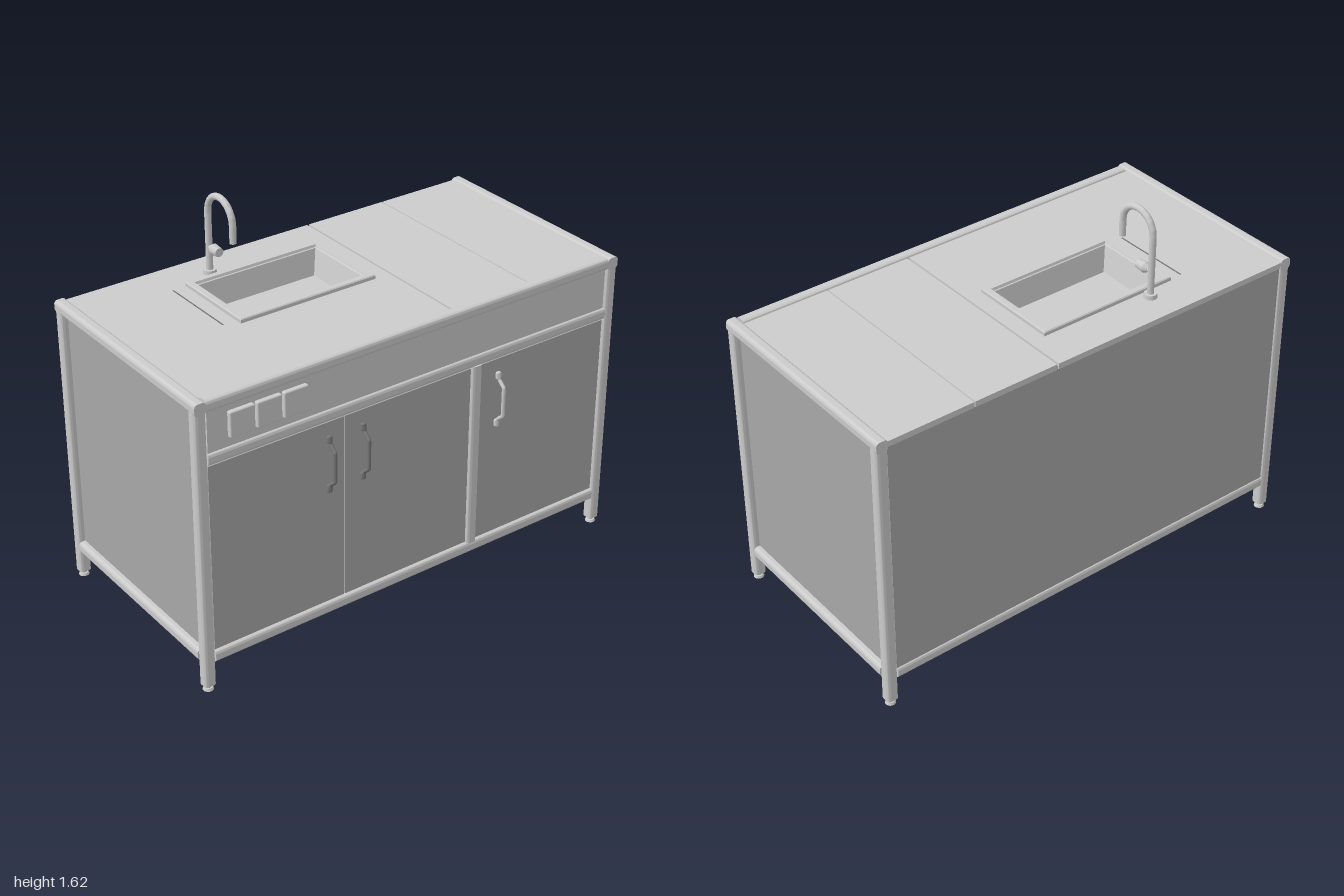
import * as THREE from 'three';
import { RoundedBoxGeometry } from 'three/addons/geometries/RoundedBoxGeometry.js';
import { toCreasedNormals } from 'three/addons/utils/BufferGeometryUtils.js';

const steel = new THREE.MeshStandardMaterial({ color: 0xcccccc });
const sheet = new THREE.MeshStandardMaterial({ color: 0xcccccc, side: THREE.DoubleSide });
const panelGrey = new THREE.MeshStandardMaterial({ color: 0xa8a8a8 });
const darkGrey = new THREE.MeshStandardMaterial({ color: 0x777777 });

export function createModel() {
  const root = new THREE.Group();

  const add = (name, geometry, material = steel, x = 0, y = 0, z = 0, parent = root) => {
    const mesh = new THREE.Mesh(geometry, material);
    mesh.name = name;
    mesh.position.set(x, y, z);
    parent.add(mesh);
    return mesh;
  };
  // Box given by its limits on each axis
  const box = (name, x0, x1, y0, y1, z0, z1, material = steel) =>
    add(name, new THREE.BoxGeometry(x1 - x0, y1 - y0, z1 - z0), material,
      (x0 + x1) / 2, (y0 + y1) / 2, (z0 + z1) / 2);

  // Square tube with rounded long edges, extruded along one axis
  const T = 0.05;
  const profile = (() => {
    const h = T / 2, r = 0.015, k = h - r, s = new THREE.Shape();
    s.absarc(k, k, r, 0, Math.PI / 2);
    s.absarc(-k, k, r, Math.PI / 2, Math.PI);
    s.absarc(-k, -k, r, Math.PI, Math.PI * 1.5);
    s.absarc(k, -k, r, Math.PI * 1.5, Math.PI * 2);
    return s;
  })();
  const bar = (name, axis, length, x, y, z) => {
    let g = new THREE.ExtrudeGeometry(profile, { depth: length, bevelEnabled: false, curveSegments: 4 });
    g.translate(0, 0, -length / 2);
    g = toCreasedNormals(g, 0.6);
    if (axis === 'x') g.rotateY(Math.PI / 2);
    if (axis === 'y') g.rotateX(Math.PI / 2);
    return add(name, g, steel, x, y, z);
  };

  // Frame: corner posts, feet and rails
  const zF = 0.452, zB = -0.488, zMid = (zF + zB) / 2, depth = zF - zB;
  for (const sx of [-1, 1]) {
    const x = sx * 0.975;
    for (const z of [zF, zB]) {
      bar('cornerPost', 'y', 1.22, x, 0.635, z);
      add('footStem', new THREE.CylinderGeometry(0.011, 0.011, 0.03, 12), steel, x, 0.017, z);
      add('footPad', new THREE.CylinderGeometry(0.018, 0.022, 0.01, 16), steel, x, 0.005, z);
    }
    bar('sideTopRail', 'z', depth + T, x, 1.235, zMid);
    bar('sideBottomRail', 'z', depth - T, x, 0.15, zMid);
    const inner = sx * 0.958;
    box('sidePanel', inner - 0.014, inner + 0.014, 0.16, 1.225, zB, zF, panelGrey);
  }
  bar('frontTopRail', 'x', 1.9, 0, 1.235, zF);
  bar('frontMiddleRail', 'x', 1.9, 0, 1.015, zF);
  bar('frontBottomRail', 'x', 1.9, 0, 0.15, zF);
  bar('backBottomRail', 'x', 1.9, 0, 0.15, zB);
  bar('doorDivider', 'y', 0.82, 0.29, 0.582, zF);

  // Back, floor and control panels
  box('backPanel', -0.95, 0.95, 0.17, 1.235, -0.505, -0.485, panelGrey);
  box('floorPanel', -0.955, 0.955, 0.135, 0.15, zB, zF, panelGrey);
  box('controlPanel', -0.945, 0.945, 1.03, 1.22, 0.44, 0.466);

  // Doors
  for (const [x0, x1] of [[-0.947, -0.347], [-0.342, 0.262], [0.316, 0.945]])
    box('door', x0, x1, 0.18, 0.985, 0.44, 0.466, panelGrey);

  // Handles: bowed rods with round end pads
  const path = new THREE.CurvePath();
  const pts = [[0.685, 0.474], [0.715, 0.476], [0.742, 0.507], [0.87, 0.507], [0.897, 0.476], [0.925, 0.474]]
    .map(([y, z]) => new THREE.Vector3(0, y, z));
  for (let i = 1; i < pts.length; i++) path.add(new THREE.LineCurve3(pts[i - 1], pts[i]));
  const handleGeo = new THREE.TubeGeometry(path, 40, 0.008, 8);
  for (const [x, material] of [[-0.417, darkGrey], [-0.26, darkGrey], [0.4, steel]]) {
    const handle = new THREE.Group();
    handle.name = 'handle';
    handle.position.x = x;
    root.add(handle);
    add('handleRod', handleGeo, material, 0, 0, 0, handle);
    for (const y of [0.698, 0.912])
      add('handlePad', new RoundedBoxGeometry(0.022, 0.034, 0.018, 2, 0.007), material, 0, y, 0.471, handle);
  }

  // Row of socket covers
  for (let i = 0; i < 3; i++)
    add('socketCover', new RoundedBoxGeometry(0.108, 0.108, 0.03, 2, 0.006), steel, -0.804 + i * 0.117, 1.132, 0.47);

  // Worktop: three plates, the first cut out for the sink
  const rect = (s, x0, x1, z0, z1) =>
    s.moveTo(x0, -z1).lineTo(x1, -z1).lineTo(x1, -z0).lineTo(x0, -z0).closePath();
  const top = new THREE.Shape();
  rect(top, -0.955, 0.183, -0.512, 0.428);
  const cut = new THREE.Path();
  rect(cut, -0.5, 0.09, -0.32, 0.03);
  top.holes.push(cut);
  const topGeo = new THREE.ExtrudeGeometry(top, { depth: 0.025, bevelEnabled: false }).rotateX(-Math.PI / 2);
  add('sinkWorktop', topGeo, steel, 0, 1.225, 0);
  box('middleWorktop', 0.192, 0.568, 1.225, 1.25, -0.512, 0.428);
  box('endWorktop', 0.573, 0.955, 1.225, 1.25, -0.512, 0.428);
  box('seamBacking', 0.17, 0.59, 1.215, 1.226, -0.5, 0.428, darkGrey);
  box('worktopSlit', -0.582, -0.577, 1.245, 1.252, -0.33, 0.02, darkGrey);

  // Sink: rectangular rings from the outer rim down to the floor
  const rings = [[0, 1.25], [0, 1.264], [0.004, 1.268], [0.027, 1.268], [0.031, 1.258],
    [0.036, 1.256], [0.06, 1.15]].map(([d, y]) => [
    [-0.52 + d, y, -0.34 + d], [-0.52 + d, y, 0.05 - d], [0.112 - d, y, 0.05 - d], [0.112 - d, y, -0.34 + d]]);
  const corners = [];
  const quad = (a, b, c, d) => corners.push(...a, ...b, ...c, ...a, ...c, ...d);
  for (let r = 1; r < rings.length; r++)
    for (let i = 0; i < 4; i++) {
      const j = (i + 1) % 4;
      quad(rings[r - 1][i], rings[r - 1][j], rings[r][j], rings[r][i]);
    }
  quad(...rings[rings.length - 1]);
  const sinkGeo = new THREE.BufferGeometry();
  sinkGeo.setAttribute('position', new THREE.Float32BufferAttribute(corners, 3));
  sinkGeo.computeVertexNormals();
  add('sinkBasin', sinkGeo, sheet);

  // Tap: collar, swan-neck spout and side valve
  const tap = new THREE.Group();
  tap.name = 'tap';
  tap.position.set(-0.38, 0, -0.378);
  root.add(tap);
  const R = 0.087, yArc = 1.518;
  const neck = new THREE.CurvePath();
  const line = (...v) => neck.add(new THREE.LineCurve3(...v));
  const arcPts = Array.from({ length: 11 }, (_, i) => {
    const a = Math.PI * i / 10;
    return new THREE.Vector3(0, yArc + R * Math.sin(a), R - R * Math.cos(a));
  });
  line(new THREE.Vector3(0, 1.25, 0), arcPts[0]);
  for (let i = 1; i < arcPts.length; i++) line(arcPts[i - 1], arcPts[i]);
  line(arcPts[10], new THREE.Vector3(0, 1.445, 2 * R));
  add('tapSpout', new THREE.TubeGeometry(neck, 80, 0.014, 12), sheet, 0, 0, 0, tap);
  add('tapCollar', new THREE.CylinderGeometry(0.026, 0.028, 0.02, 20), steel, 0, 1.258, 0, tap);
  const valve = (name, r0, r1, length, z) =>
    add(name, new THREE.CylinderGeometry(r0, r1, length, 12), steel, 0, 1.366, z, tap).rotation.x = Math.PI / 2;
  valve('tapValveStem', 0.011, 0.011, 0.04, 0.02);
  valve('tapValveNeck', 0.023, 0.013, 0.016, 0.026);
  valve('tapValveKnob', 0.019, 0.023, 0.04, 0.054);

  return root;
}
